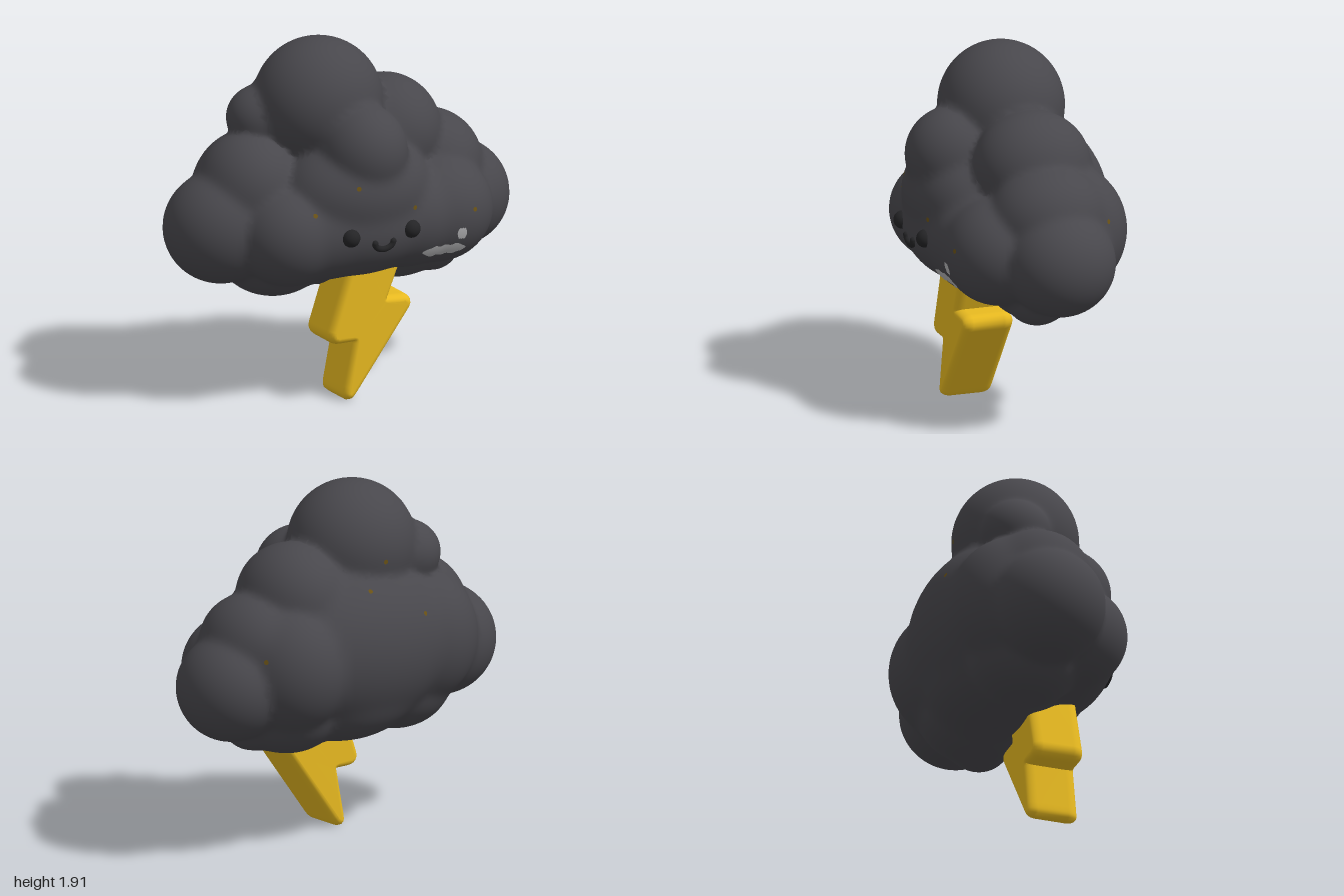
import * as THREE from 'three';
import { mergeVertices } from 'three/addons/utils/BufferGeometryUtils.js';

// Cloud puffs: name, centre x y z, radii x y z
const PUFFS = [
  ['crownPuff', -0.122, 1.57, -0.035, 0.345, 0.34, 0.335],
  ['crownSidePuff', -0.41, 1.49, -0.14, 0.18, 0.17, 0.18],
  ['leftShoulderPuff', 0.295, 1.345, -0.055, 0.288, 0.295, 0.315],
  ['leftUpperPuff', 0.55, 1.14, -0.05, 0.275, 0.27, 0.31],
  ['leftEndPuff', 0.72, 0.93, -0.06, 0.28, 0.285, 0.295],
  ['rightUpperPuff', -0.53, 1.15, -0.05, 0.275, 0.29, 0.29],
  ['rightEndPuff', -0.69, 0.95, -0.06, 0.31, 0.3, 0.3],
  ['frontTopPuff', -0.025, 1.36, 0.27, 0.235, 0.25, 0.255],
  ['frontBodyPuff', -0.03, 1.13, 0.21, 0.41, 0.3, 0.312],
  ['frontLowPuff', -0.02, 0.95, 0.2, 0.46, 0.28, 0.312],
  ['frontRightFillPuff', -0.24, 0.94, 0.19, 0.3, 0.27, 0.285],
  ['frontLeftFillPuff', 0.26, 0.95, 0.2, 0.3, 0.28, 0.292],
  ['frontRightPuff', -0.42, 0.93, 0.19, 0.28, 0.27, 0.275],
  ['frontLeftPuff', 0.46, 0.95, 0.195, 0.305, 0.285, 0.285],
  ['backBodyPuff', -0.02, 1.06, -0.18, 0.6, 0.45, 0.365],
  ['backUpperPuff', 0.02, 1.22, -0.12, 0.42, 0.34, 0.27],
  ['backRightPuff', -0.45, 1.04, -0.2, 0.31, 0.36, 0.3],
  ['backLeftPuff', 0.43, 1.02, -0.2, 0.31, 0.35, 0.32],
  ['bottomRightPuff', -0.37, 0.775, -0.08, 0.3, 0.245, 0.3],
  ['bottomLeftPuff', 0.36, 0.765, -0.08, 0.29, 0.24, 0.3],
  ['bottomOuterPuff', 0.54, 0.73, 0.0, 0.15, 0.18, 0.18],
  ['bottomMiddlePuff', 0, 0.79, -0.1, 0.42, 0.25, 0.35],
];
const BLEND = 65;

// Approximate signed distance to the softly joined puffs
function field(p) {
  let sum = 0;
  for (const [, cx, cy, cz, rx, ry, rz] of PUFFS) {
    const x = (p.x - cx) / rx, y = (p.y - cy) / ry, z = (p.z - cz) / rz;
    const k = Math.hypot(x, y, z);
    sum += Math.exp(-BLEND * k * (k - 1) / Math.max(1e-6, Math.hypot(x / rx, y / ry, z / rz)));
  }
  return -Math.log(sum) / BLEND;
}

function fieldNormal(p) {
  const e = 0.004;
  const slope = (x, y, z) =>
    field(new THREE.Vector3(p.x + x, p.y + y, p.z + z)) - field(new THREE.Vector3(p.x - x, p.y - y, p.z - z));
  return new THREE.Vector3(slope(e, 0, 0), slope(0, e, 0), slope(0, 0, e)).normalize();
}

// Cloud surface met when moving along z (side 1 = front, -1 = back)
function surfacePoint(x, y, side = 1) {
  const p = new THREE.Vector3(x, y, side * 0.9);
  for (let i = 0; i < 60; i++) p.z -= side * field(p) * 0.7;
  return p;
}

// Ellipsoid whose creases swell out into small fillets with its neighbours
function puffGeometry([, cx, cy, cz, rx, ry, rz]) {
  const g = new THREE.SphereGeometry(1, 56, 40);
  const pos = g.attributes.position, nor = g.attributes.normal;
  const p = new THREE.Vector3(), out = new THREE.Vector3();
  for (let i = 0; i < pos.count; i++) {
    p.fromBufferAttribute(pos, i);
    out.set(p.x / rx, p.y / ry, p.z / rz).normalize();
    p.set(cx + p.x * rx, cy + p.y * ry, cz + p.z * rz);
    let push = 0;
    for (let step = 0; step < 6 && push < 0.04; step++) {
      const move = Math.min(Math.max(0, -field(p)), 0.04 - push);
      p.addScaledVector(out, move);
      push += move;
    }
    const n = fieldNormal(p);
    pos.setXYZ(i, p.x, p.y, p.z);
    nor.setXYZ(i, n.x, n.y, n.z);
  }
  return g;
}

// Polygon with rounded corners
function roundedShape(points, radius) {
  const p = points.map(([x, y]) => new THREE.Vector2(x, y));
  const shape = new THREE.Shape();
  p.forEach((c, i) => {
    const prev = p[(i + p.length - 1) % p.length], next = p[(i + 1) % p.length];
    const toward = (q) => c.clone().add(
      q.clone().sub(c).setLength(Math.min(radius, q.distanceTo(c) * 0.4)));
    const a = toward(prev), b = toward(next);
    if (i === 0) shape.moveTo(a.x, a.y); else shape.lineTo(a.x, a.y);
    shape.quadraticCurveTo(c.x, c.y, b.x, b.y);
  });
  shape.closePath();
  return shape;
}

export function createModel() {
  const group = new THREE.Group();
  group.name = 'stormCloud';
  const cloudGrey = new THREE.MeshStandardMaterial({ name: 'cloudGrey', color: 0x48474c });
  const boltYellow = new THREE.MeshStandardMaterial({ name: 'boltYellow', color: 0xe8ba20 });
  const faceBlack = new THREE.MeshStandardMaterial({ name: 'faceBlack', color: 0x242426 });
  const shineGrey = new THREE.MeshStandardMaterial({ name: 'shineGrey', color: 0xb2b2b4 });
  const fleckGold = new THREE.MeshStandardMaterial({ name: 'fleckGold', color: 0x6a5216 });

  function add(name, geometry, material, parent = group) {
    const mesh = new THREE.Mesh(geometry, material);
    mesh.name = name;
    parent.add(mesh);
    return mesh;
  }

  // Cloud body
  const cloud = new THREE.Group();
  cloud.name = 'cloud';
  group.add(cloud);
  for (const puff of PUFFS) add(puff[0], puffGeometry(puff), cloudGrey, cloud);

  // Lightning bolt, outline drawn inside its soft bevel
  const bevel = 0.055;
  const outline = roundedShape([
    [-0.05, 0.82], [-0.209, 0.347], [-0.055, 0.347], [-0.117, 0.033],
    [-0.105, 0.033], [0.243, 0.5], [0.075, 0.508], [0.2, 0.82],
  ], 0.04);
  const extruded = new THREE.ExtrudeGeometry(outline, {
    depth: 0.28 - 2 * bevel, bevelEnabled: true, bevelSize: 0.033,
    bevelThickness: bevel, bevelSegments: 6, curveSegments: 6,
  });
  extruded.deleteAttribute('uv');
  extruded.deleteAttribute('normal');
  const boltGeometry = mergeVertices(extruded, 1e-4);
  boltGeometry.computeVertexNormals();
  add('lightningBolt', boltGeometry, boltYellow).position.z = 0.03 + bevel;

  // Eyes
  for (const [name, x] of [['rightEye', -0.21], ['leftEye', 0.15]]) {
    const eye = add(name, new THREE.SphereGeometry(0.049, 24, 16), faceBlack);
    eye.position.copy(surfacePoint(x, 0.96));
    eye.position.z -= 0.008;
  }

  // Smile following the cloud surface
  const smilePoints = [];
  for (let i = 0; i <= 10; i++) {
    const a = Math.PI * (1 + i / 10);
    const point = surfacePoint(-0.026 + 0.054 * Math.cos(a), 0.918 + 0.038 * Math.sin(a));
    point.z += 0.003;
    smilePoints.push(point);
  }
  const smileCurve = new THREE.CatmullRomCurve3(smilePoints);
  add('smile', new THREE.TubeGeometry(smileCurve, 24, 0.017, 10), faceBlack);
  for (const end of [smilePoints[0], smilePoints[10]]) {
    add('smileEnd', new THREE.SphereGeometry(0.017, 12, 8), faceBlack).position.copy(end);
  }

  // Shine patches laid on the cloud surface
  function shine(name, x, y, w, h, slope, wobble) {
    const g = new THREE.PlaneGeometry(2, 2, 30, 8);
    const pos = g.attributes.position;
    for (let i = 0; i < pos.count; i++) {
      const u = pos.getX(i), v = pos.getY(i);
      const taper = Math.sqrt(1 - 0.75 * u ** 8);
      const p = surfacePoint(x + u * w * Math.sqrt(1 - 0.3 * v * v),
        y + slope * u + v * h * taper + wobble * Math.sin(u * 11 + v));
      p.addScaledVector(fieldNormal(p), 0.007);
      pos.setXYZ(i, p.x, p.y, p.z);
    }
    g.computeVertexNormals();
    add(name, g, shineGrey);
  }
  shine('shineStripe', 0.367, 0.802, 0.135, 0.029, -0.003, 0.004);
  shine('shineDot', 0.462, 0.885, 0.029, 0.03, -0.003, 0.002);

  // Tiny gold flecks on the surface: x, y, side
  for (const [x, y, side] of [
    [-0.165, 1.225, 1], [-0.388, 1.09, 1], [0.175, 1.07, 1], [0.545, 1.0, 1],
    [0.05, 1.41, -1], [-0.085, 1.54, -1], [-0.264, 1.25, -1], [0.7, 1.125, -1],
  ]) {
    const spot = surfacePoint(x, y, side), normal = fieldNormal(spot);
    const fleck = add('fleck', new THREE.CircleGeometry(0.013, 10), fleckGold);
    fleck.position.copy(spot).addScaledVector(normal, 0.003);
    fleck.quaternion.setFromUnitVectors(new THREE.Vector3(0, 0, 1), normal);
  }

  return group;
}
